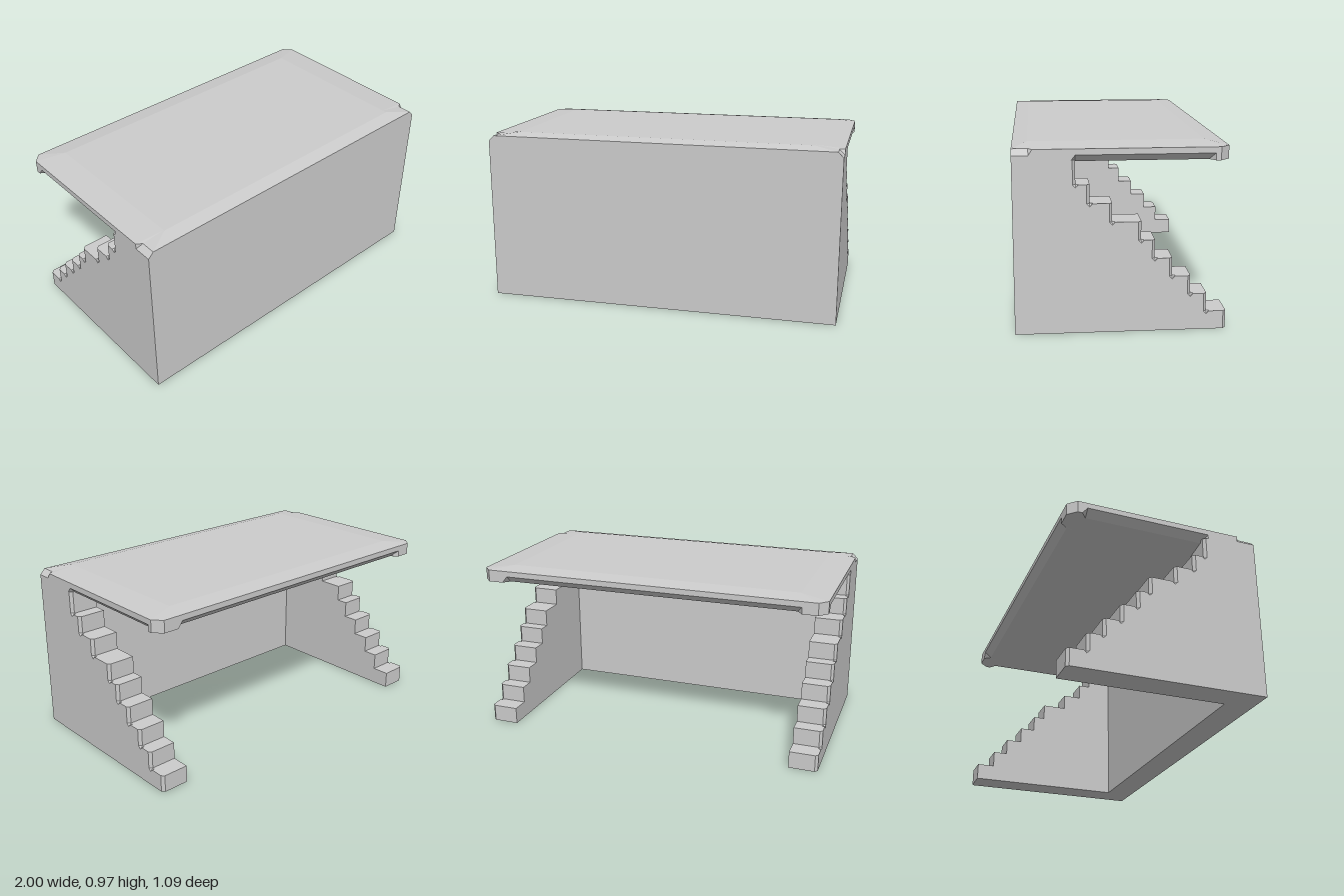
import * as THREE from 'three';

const material = new THREE.MeshStandardMaterial({ color: 0xcccccc, flatShading: true });

// Skin a stack of equal-length rings and cap both ends; project gives the cap's 2D plane
function loft(rings, project, mirror = false) {
  const n = rings[0].length, index = [];
  const tri = (a, b, c) => (mirror ? index.push(a, c, b) : index.push(a, b, c));
  for (let r = 0; r < rings.length - 1; r++) {
    for (let i = 0; i < n; i++) {
      const a = r * n + i, b = r * n + (i + 1) % n;
      tri(a, b, b + n);
      tri(a, b + n, a + n);
    }
  }
  const cap = (r) => THREE.ShapeUtils.triangulateShape(rings[r].map((p) => new THREE.Vector2(...project(p))), []);
  const last = rings.length - 1;
  cap(0).forEach(([a, b, c]) => tri(a, c, b));
  cap(last).forEach(([a, b, c]) => tri(a + last * n, b + last * n, c + last * n));
  const points = rings.flat().map(([x, y, z]) => [mirror ? -x : x, y, z]);
  const geometry = new THREE.BufferGeometry();
  geometry.setAttribute('position', new THREE.Float32BufferAttribute(points.flat(), 3));
  geometry.setIndex(index);
  const flat = geometry.toNonIndexed();
  flat.computeVertexNormals();
  return flat;
}

// Stepped side wall with a chamfer down the outer edge of each riser
function sideWall(mirror) {
  const risers = [-0.44, -0.355, -0.26, -0.17, -0.1, 0.047, 0.16, 0.23];
  const rise = 0.097, c = 0.015, depth = 0.543, top = 0.9;
  const inner = [[depth, 0], [-depth, 0], [-depth, rise]];
  const outer = [[depth, 0], [-depth + c, 0], [-depth + c, rise]];
  risers.forEach((z, i) => {
    const y = rise * (i + 1);
    const yTop = i === risers.length - 1 ? top : y + rise;
    inner.push([z - c, y], [z, y], [z, y + c], [z, yTop]);
    // small pointed notch where the chamfer runs into the tread
    outer.push([z - c, y], [z, y - c], [z + c, y], [z + c, yTop]);
  });
  inner.push([depth, top]);
  outer.push([depth, top]);
  const ring = (profile, x) => profile.map(([z, y]) => [x, y, z]);
  return loft([ring(inner, 0.84), ring(inner, 1 - c), ring(outer, 1)], ([, y, z]) => [-z, y], mirror);
}

// Slab with gently sloped faces, cut corners and a bevelled groove under its edges
function topSlab() {
  // x, z, lower inset in x, lower inset in z, upper inset in x
  const half = [
    [1, 0.543, 0, 0, 0.03],
    [1, 0.46, 0, 0, 0.03],
    [1, 0.44, 0, 0, 0],
    [1, 0.26, 0, 0, 0],
    [1, 0.23, 0.04, 0, 0],
    [1, -0.44, 0.04, 0, 0],
    [1, -0.47, 0, 0, 0],
    [1, -0.495, 0, 0, 0],
    [0.955, -0.543, 0, 0, 0],
    [0.87, -0.543, 0, 0, 0],
    [0.84, -0.543, 0, 0.04, 0],
  ];
  const ring = (place) => {
    const right = half.map(place);
    return [...right, ...right.map(([x, y, z]) => [-x, y, z]).reverse()];
  };
  const flatPart = (y) => ring(([x, z]) => [Math.min(x, 0.84), y, THREE.MathUtils.clamp(z, -0.44, 0.465)]);
  return loft([
    flatPart(0.875),
    ring(([x, z, dx, dz]) => [x - dx, 0.888, z + dz]),
    ring(([x, z]) => [x, 0.925, z]),
    ring(([x, z, , , up]) => [x - up, 0.956, z]),
    flatPart(0.971),
  ], ([x, , z]) => [x, -z]);
}

export function createModel() {
  const model = new THREE.Group();
  model.name = 'steppedDesk';
  const add = (name, geometry) => {
    const mesh = new THREE.Mesh(geometry, material);
    mesh.name = name;
    model.add(mesh);
    return mesh;
  };
  add('leftSteppedWall', sideWall(false));
  add('rightSteppedWall', sideWall(true));
  add('frontPanel', new THREE.BoxGeometry(1.68, 0.9, 0.163)).position.set(0, 0.45, 0.4615);
  add('topSlab', topSlab());
  return model;
}
